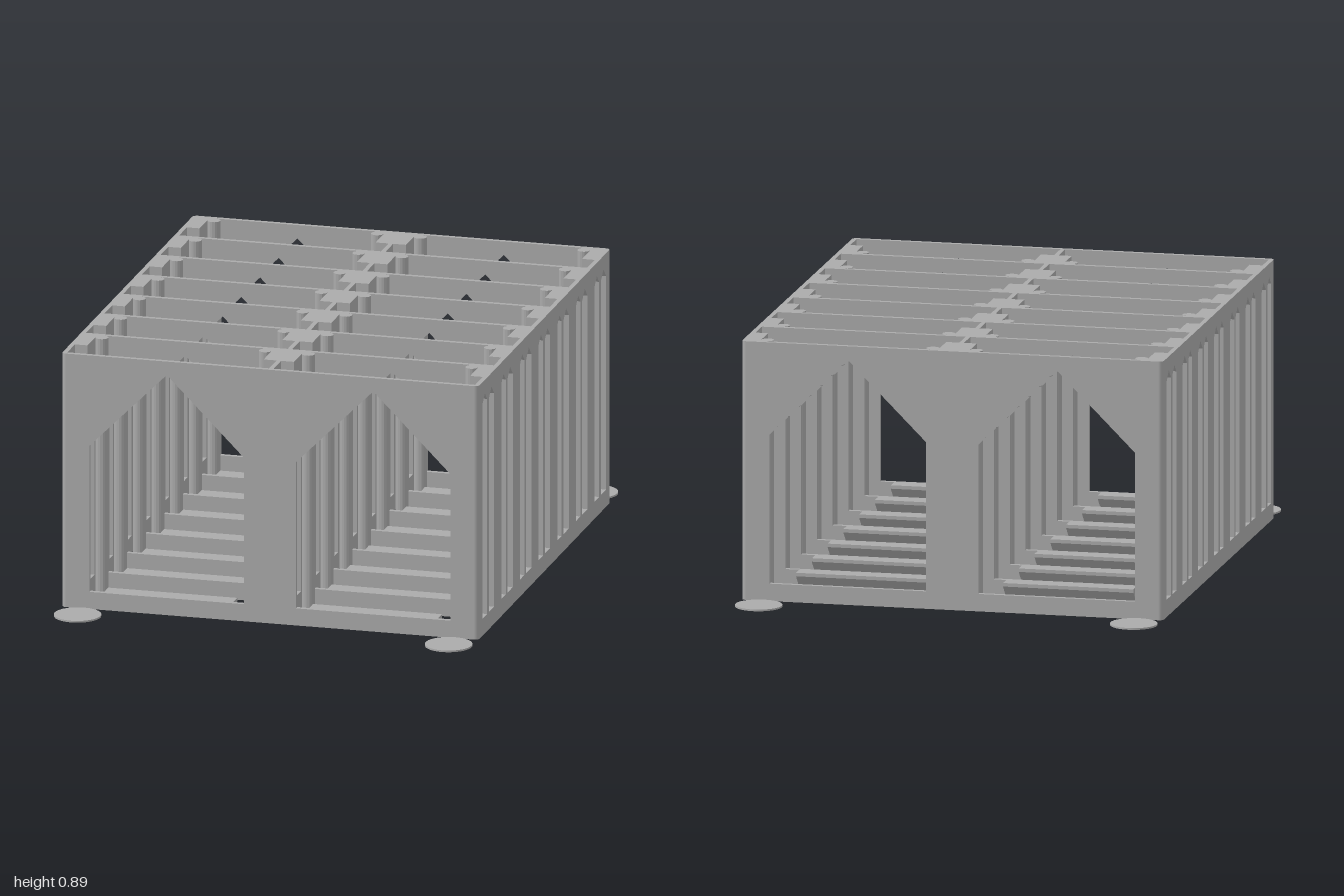
import * as THREE from 'three';

// Overall sizes
const H = 0.89, X = 0.727, T = 0.016, PITCH = 0.2355, CELLS = 7;
const Z = (CELLS * PITCH + T) / 2;
const wallZ = (i) => (i - CELLS / 2) * PITCH;
const BLOCK = 0.1325;                              // block end, from wall centre
const SLOTS = [[0.0465, 0.1135], [0.1355, 0.1915]]; // slot spans, from wall centre
const SILL = 0.06, PEAK = 0.843;

// Pointed opening from a to b with a 45 degree top
function pointed(a, b, Cls = THREE.Path) {
  const shoulder = PEAK - (b - a) / 2;
  return new Cls([[a, SILL], [b, SILL], [b, shoulder], [(a + b) / 2, PEAK], [a, shoulder]]
    .map(([x, y]) => new THREE.Vector2(x, y)));
}

// Upright panel of height H with pointed openings
function panelShape(a, b, openings) {
  const s = new THREE.Shape([[a, 0], [b, 0], [b, H], [a, H]].map(([x, y]) => new THREE.Vector2(x, y)));
  for (const [p, q] of openings) s.holes.push(pointed(p, q));
  return s;
}

const extrude = (shape, depth) =>
  new THREE.ExtrudeGeometry(shape, { depth, bevelEnabled: false, curveSegments: 6 });

export function createModel() {
  const model = new THREE.Group();
  model.name = 'slottedRack';
  const grey = new THREE.MeshStandardMaterial({ color: 0xaaaaaa });
  grey.name = 'grey plastic';

  const add = (name, geo, x = 0, y = 0, z = 0) => {
    const m = new THREE.Mesh(geo, grey);
    m.name = name;
    m.position.set(x, y, z);
    model.add(m);
    return m;
  };
  // Panel in the z-y plane filling x0..x1
  const lengthwise = (name, x0, x1, a, b, openings, z = 0) =>
    add(name, extrude(panelShape(a, b, openings), x1 - x0).rotateY(-Math.PI / 2), x1, 0, z);

  // Lengthwise walls: two sides and the middle
  const allSlots = [];
  for (let i = 0; i < CELLS; i++)
    for (const [a, b] of SLOTS) allSlots.push([wallZ(i) + a, wallZ(i) + b]);
  const end = Z - T;
  lengthwise('rightWall', -X, -X + T, -end, end, allSlots);
  lengthwise('leftWall', X - T, X, -end, end, allSlots);
  lengthwise('middleWall', -T / 2, T / 2, -end, end, allSlots);

  // Cross walls with two house-shaped windows
  const cross = extrude(panelShape(-X + T, X - T, [[-0.63, -0.09], [0.09, 0.63]]), T);
  for (let i = 0; i <= CELLS; i++) add('crossWall', cross, 0, 0, wallZ(i) - T / 2);

  // Rounded outer corner posts
  for (let k = 0; k < 4; k++) {
    const post = new THREE.CylinderGeometry(T, T, H, 6, 1, false, k * Math.PI / 2, Math.PI / 2);
    const sx = k < 2 ? 1 : -1, sz = k === 0 || k === 3 ? 1 : -1;
    add('cornerPost', post, sx * (X - T), H / 2, sz * (Z - T));
  }

  // Concave corner fillet, filling the corner at the origin toward sx and +z
  const R = 0.022;
  const fillet = (sx) => {
    const s = new THREE.Shape();
    s.moveTo(0, 0);
    s.lineTo(sx * R, 0);
    s.absarc(sx * R, -R, R, Math.PI / 2, sx > 0 ? Math.PI : 0, sx > 0);
    s.closePath();
    return extrude(s, H).rotateX(-Math.PI / 2);
  };
  const fillets = { 1: fillet(1), [-1]: fillet(-1) };

  // Sloped shelf lip profile (z, y), hung on the back of each wall
  const lip = new THREE.Shape([[0, 0], [0, SILL], [-0.049, SILL], [-0.049, SILL - 0.012]]
    .map(([x, y]) => new THREE.Vector2(x, y)));
  const lipGeo = extrude(lip, 0.45).rotateY(-Math.PI / 2);

  for (let i = 0; i < CELLS; i++) {
    const z = wallZ(i);
    // Spacer blocks beside the lengthwise walls
    for (const [x0, x1] of [[-X + T, -0.667], [-0.053, -T / 2], [T / 2, 0.053], [0.667, X - T]])
      lengthwise('spacerBlock', x0, x1, T / 2, BLOCK, [SLOTS[0]], z);
    // Rounded inside corners
    for (const [x, sx] of [[-0.667, 1], [-0.053, -1], [0.053, 1], [0.667, -1]])
      add('cornerFillet', fillets[sx], x, 0, z + T / 2);
    // Shelf lips in front of the next wall
    for (const x of [-0.132, 0.582]) add('shelfLip', lipGeo, x, 0, wallZ(i + 1) - T / 2);
  }

  // Thin round pads at the four corners
  const pad = new THREE.CylinderGeometry(0.08, 0.08, 0.006, 40);
  for (const sx of [-1, 1])
    for (const sz of [-1, 1]) add('cornerPad', pad, sx * 0.647, 0.003, sz * 0.92);

  return model;
}
